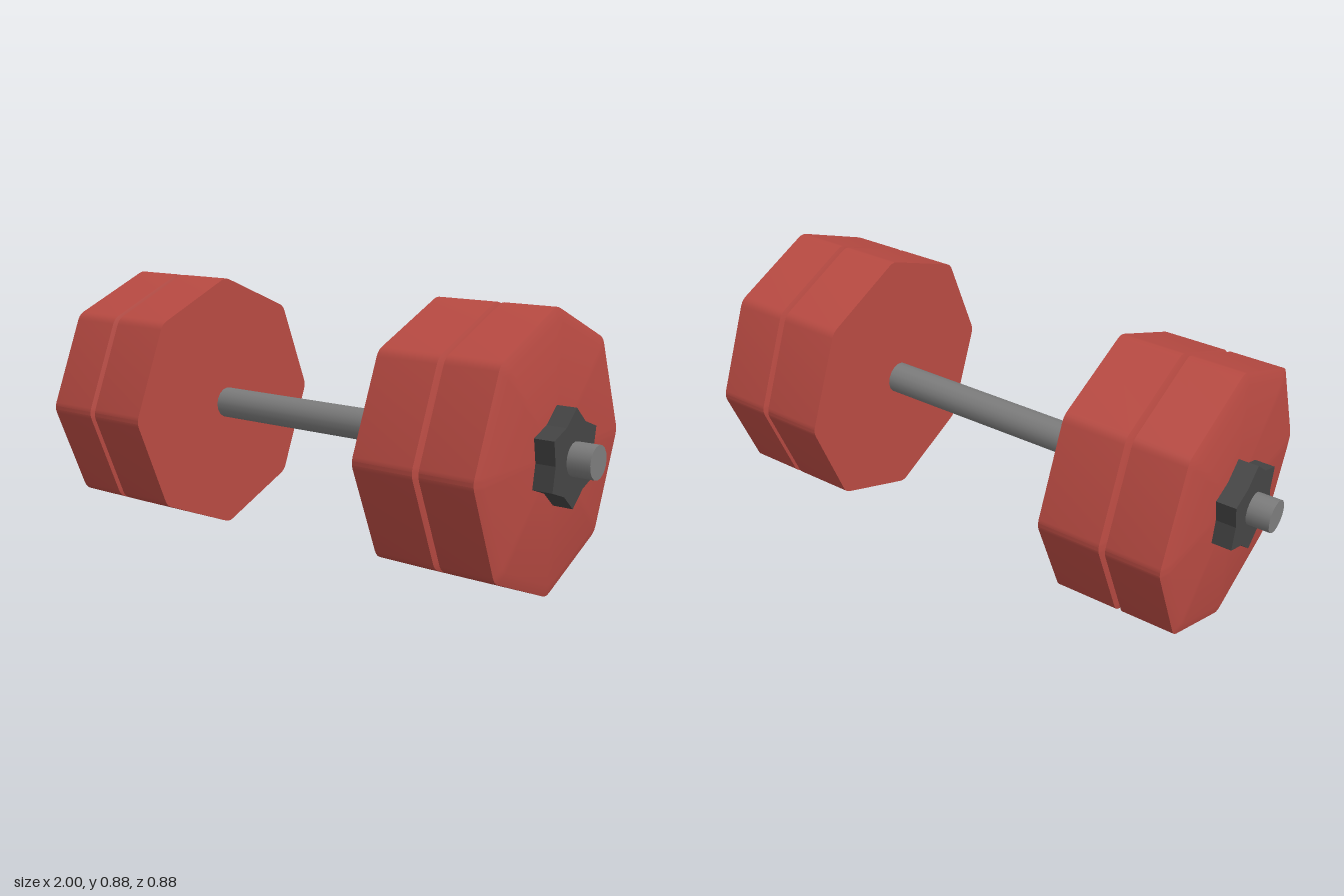
import * as THREE from 'three';
import { toCreasedNormals } from 'three/addons/utils/BufferGeometryUtils.js';

const AXIS_Y = 0.44;
const red = new THREE.MeshStandardMaterial({ color: 0xb84a42 });
const dark = new THREE.MeshStandardMaterial({ color: 0x444444 });
const steel = new THREE.MeshStandardMaterial({ color: 0x7c7c7c });

// Octagon with a corner at the top and slightly rounded corners, as (z, y) points
function octagonOutline(radius, cut, steps) {
  const corner = (i) => {
    const a = (i * Math.PI) / 4;
    return new THREE.Vector2(Math.sin(a) * radius, Math.cos(a) * radius);
  };
  const side = 2 * radius * Math.sin(Math.PI / 8);
  const points = [];
  for (let i = 0; i < 8; i++) {
    const c = corner(i);
    const curve = new THREE.QuadraticBezierCurve(
      c.clone().lerp(corner(i - 1), cut / side), c, c.clone().lerp(corner(i + 1), cut / side));
    points.push(...curve.getPoints(steps));
  }
  return points;
}

// Loft an outline along x through [x, scale] sections; scale 0 closes an end
function loft(outline, sections) {
  const n = outline.length, position = [], index = [];
  for (const [x, s] of sections)
    for (const p of outline) position.push(x, p.y * s, p.x * s);
  for (let i = 0; i < sections.length - 1; i++) {
    for (let j = 0; j < n; j++) {
      const k = (j + 1) % n;
      const a = i * n + j, b = i * n + k, c = b + n, d = a + n;
      if (sections[i][1] > 0) index.push(a, b, sections[i + 1][1] > 0 ? c : d);
      if (sections[i + 1][1] > 0) index.push(a, c, d);
    }
  }
  const g = new THREE.BufferGeometry();
  g.setAttribute('position', new THREE.Float32BufferAttribute(position, 3));
  g.setIndex(index);
  return toCreasedNormals(g, 0.35);
}

// Six-pointed locking nut, extruded along x
function starNut(x, depth) {
  const points = [];
  for (let i = 0; i < 12; i++) {
    const a = (i * Math.PI) / 6, r = i % 2 ? 0.119 : 0.153;
    points.push(new THREE.Vector2(Math.sin(a) * r, Math.cos(a) * r));
  }
  const g = new THREE.ExtrudeGeometry(new THREE.Shape(points), { depth, bevelEnabled: false });
  return g.rotateY(Math.PI / 2).translate(x, 0, 0);
}

function addMesh(parent, name, geometry, material) {
  const mesh = new THREE.Mesh(geometry, material);
  mesh.name = name;
  parent.add(mesh);
}

export function createModel() {
  const model = new THREE.Group();
  model.name = 'dumbbell';

  // Handle bar running through everything
  const bar = new THREE.CylinderGeometry(0.053, 0.053, 2, 16).rotateZ(Math.PI / 2);
  bar.translate(0, AXIS_Y, 0);
  addMesh(model, 'bar', bar, steel);

  // Plates: flat inner face, chamfers at the groove and the outer rim
  const outline = octagonOutline(0.444, 0.02, 3);
  const innerPlate = loft(outline, [[0.44, 0], [0.44, 1], [0.648, 1], [0.66, 0.91], [0.66, 0]]);
  const outerPlate = loft(outline,
    [[0.66, 0], [0.66, 0.91], [0.67, 1], [0.848, 1], [0.86, 0.91], [0.86, 0]]);
  const nut = starNut(0.86, 0.065);

  for (const side of ['left', 'right']) {
    const weight = new THREE.Group();
    weight.name = side + 'Weight';
    weight.position.y = AXIS_Y;
    weight.rotation.y = side === 'left' ? 0 : Math.PI;
    addMesh(weight, 'innerPlate', innerPlate, red);
    addMesh(weight, 'outerPlate', outerPlate, red);
    addMesh(weight, 'lockingNut', nut, dark);
    model.add(weight);
  }
  return model;
}
